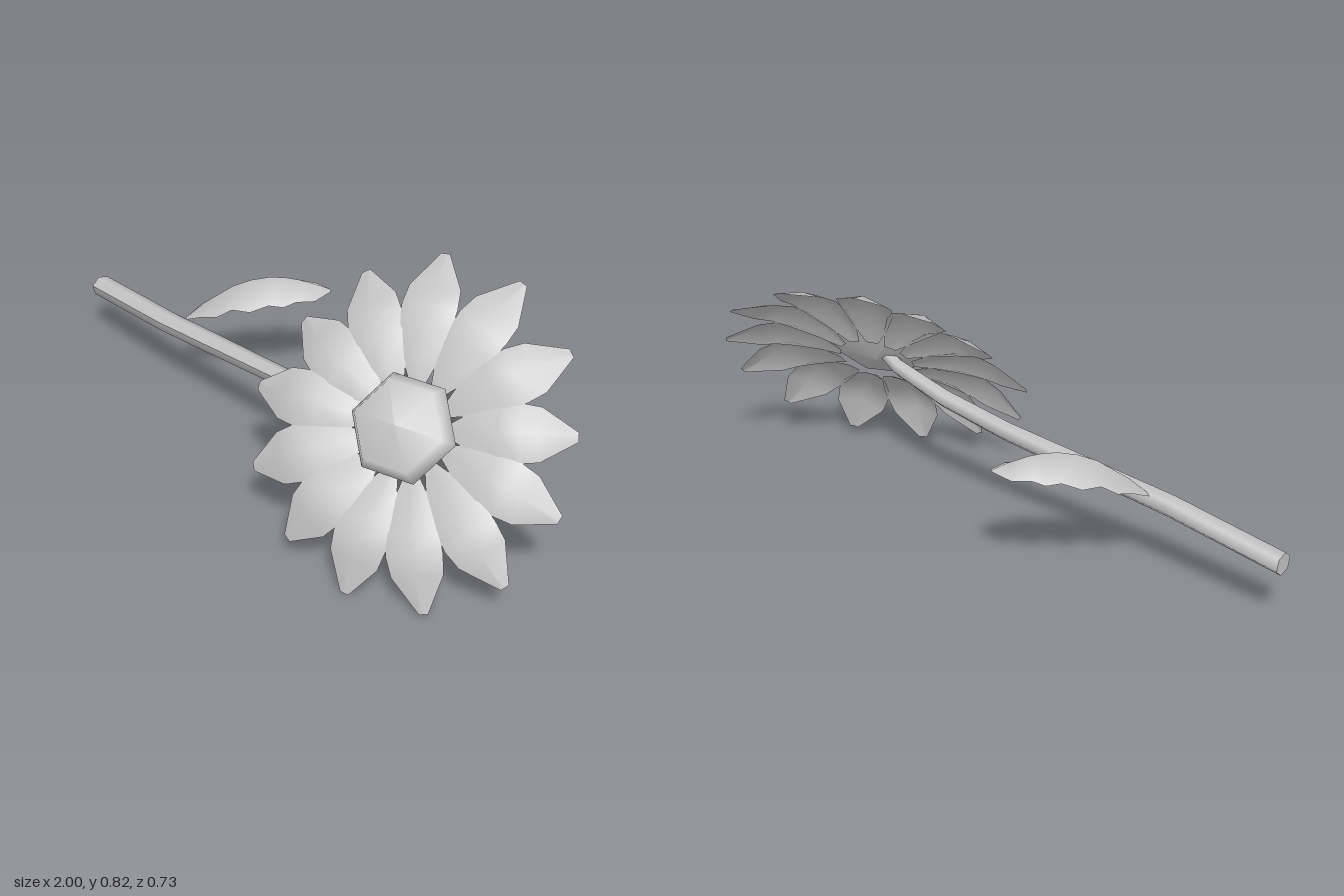
import * as THREE from 'three';

// Surface made from rows of points (cross-sections).
function loft(rows) {
  const n = rows[0].length, pos = [], idx = [];
  rows.forEach(r => r.forEach(p => pos.push(...p)));
  for (let i = 0; i < rows.length - 1; i++) {
    for (let j = 0; j < n - 1; j++) {
      const a = i * n + j, b = a + n;
      idx.push(a, a + 1, b, a + 1, b + 1, b);
    }
  }
  const g = new THREE.BufferGeometry();
  g.setAttribute('position', new THREE.Float32BufferAttribute(pos, 3));
  g.setIndex(idx);
  g.computeVertexNormals();
  return g;
}

export function createModel() {
  const model = new THREE.Group();
  const grey = new THREE.MeshStandardMaterial({ color: 0xc4c4c4, side: THREE.DoubleSide });
  grey.name = 'plain grey';
  const add = (parent, geometry, name) => {
    const m = new THREE.Mesh(geometry, grey);
    m.name = name;
    parent.add(m);
    return m;
  };

  // Flower head: local y is the facing direction, x points along one petal
  const head = new THREE.Group();
  head.name = 'flowerHead';
  const axis = new THREE.Vector3(0.325, 0.628, 0.707).normalize();
  const side = new THREE.Vector3().crossVectors(new THREE.Vector3(0.078, 0.723, -0.687), axis).normalize();
  const out = new THREE.Vector3().crossVectors(axis, side);
  head.quaternion.setFromRotationMatrix(new THREE.Matrix4().makeBasis(out, axis, side));
  head.position.set(0.518, 0.4, 0.01);
  model.add(head);

  // Petals: radius, height, half width, edge droop
  const petalRows = [
    [0.13, 0.045, 0.020, 0], [0.20, 0.070, 0.052, 0.010], [0.30, 0.088, 0.080, 0.022],
    [0.37, 0.088, 0.087, 0.028], [0.43, 0.066, 0.080, 0.025], [0.54, 0.002, 0.014, 0.002],
  ].map(([r, h, w, d]) => [[r, h - d, w], [r, h, 0], [r, h - d, -w]]);
  const petal = loft(petalRows);
  const lengths = [0.54, 0.521, 0.495, 0.511, 0.533, 0.535, 0.519, 0.503, 0.517, 0.518, 0.495, 0.512, 0.536];
  lengths.forEach((length, i) => {
    const p = add(head, petal, 'petal');
    p.rotation.y = (-i / 13) * Math.PI * 2;
    p.scale.x = length / 0.54;
  });

  // Six-sided domed seed disc
  const profile = [[0, 0.045], [0.15, 0.068], [0.168, 0.1], [0.14, 0.155], [0, 0.185]]
    .map(p => new THREE.Vector2(...p));
  add(head, new THREE.LatheGeometry(profile, 6), 'seedDisc').rotation.y = 0.33;

  // Stem: tapering six-sided rings at x, y, z, radius
  const stemRows = [
    [-1, 0.214, 0.13, 0.0001], [-1, 0.214, 0.13, 0.037], [-0.6, 0.263, 0.124, 0.036],
    [0, 0.33, 0.075, 0.031], [0.25, 0.372, 0.06, 0.029], [0.45, 0.42, 0.06, 0.026],
    [0.55, 0.46, 0.075, 0.022],
  ].map(([x, y, z, r]) => Array.from({ length: 7 }, (_, k) => {
    const a = (k / 6) * Math.PI * 2 + 0.28;
    return [x - (x > -1 ? r * Math.sin(a) * 0.12 : 0), y + r * Math.sin(a), z + r * Math.cos(a)];
  }));
  add(model, loft(stemRows.slice(1)), 'stem');
  add(model, loft(stemRows.slice(0, 2)), 'stemEnd');

  // Toothed arching leaf: distance along, height, half width, edge droop
  const leafRows = [
    [0, 0.295, 0.012, 0], [0.06, 0.355, 0.048, 0.025], [0.11, 0.39, 0.070, 0.045],
    [0.16, 0.425, 0.062, 0.055], [0.22, 0.45, 0.082, 0.075], [0.28, 0.463, 0.066, 0.07],
    [0.33, 0.463, 0.082, 0.065], [0.37, 0.457, 0.062, 0.05], [0.43, 0.44, 0.058, 0.03],
    [0.48, 0.418, 0.008, 0],
  ].map(([t, y, w, d]) => [-1, 0, 1].map(s => [
    -0.54 + 0.66 * t + 0.75 * w * s, y - d * Math.abs(s), 0.09 - 0.75 * t + 0.66 * w * s,
  ]));
  add(model, loft(leafRows), 'leaf');

  return model;
}
